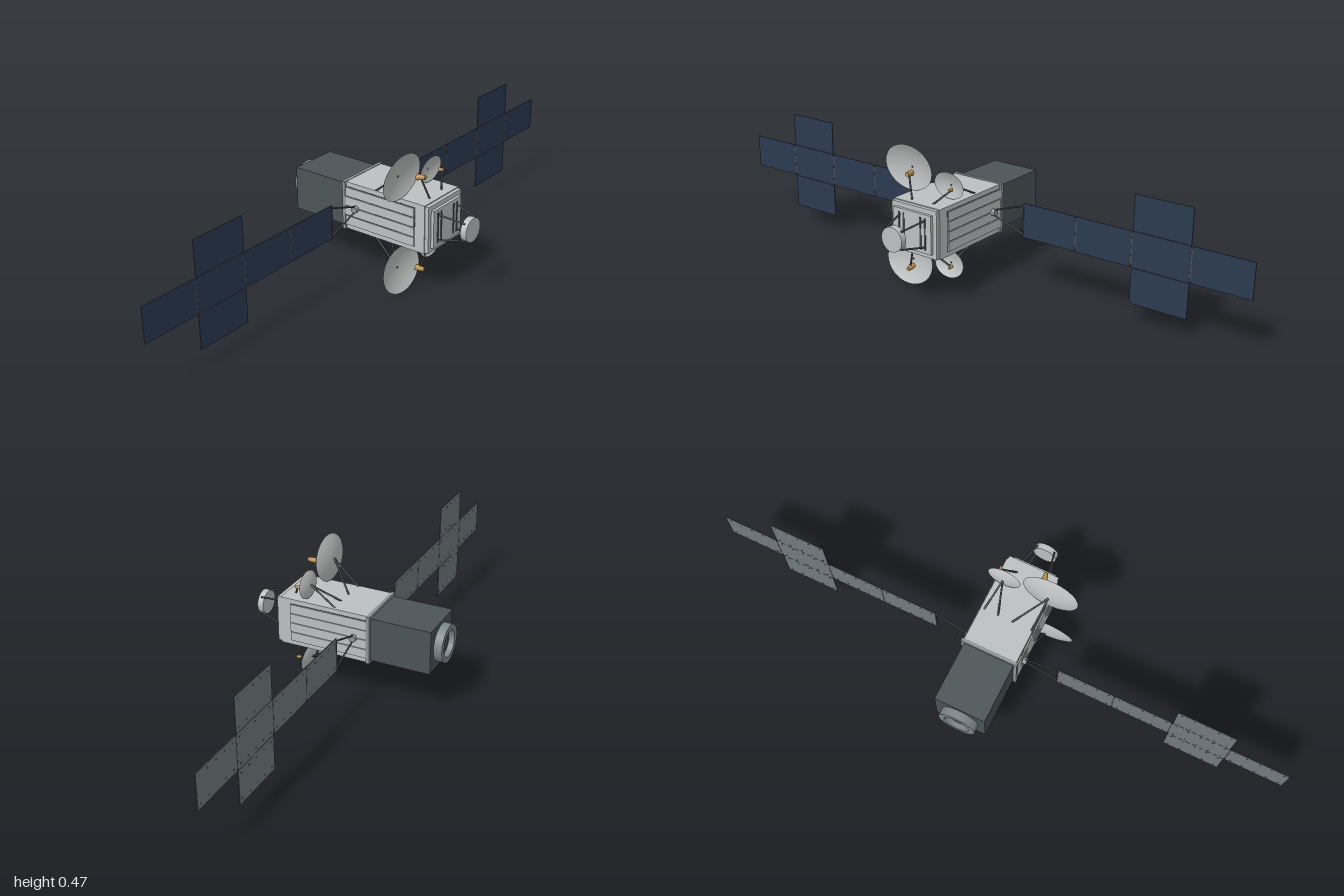
import * as THREE from 'three';

const CY = 0.2385; // height of the long axis
const mat = (name, color, double) => {
  const m = new THREE.MeshStandardMaterial({ color });
  m.name = name;
  if (double) m.side = THREE.DoubleSide;
  return m;
};

export function createModel() {
  const model = new THREE.Group();
  model.name = 'satellite';
  const grey = mat('hullGrey', 0xbcc0c0);
  const dishGrey = mat('dishGrey', 0xbfc2c2, true);
  const trim = mat('trimGrey', 0x8d9497);
  const slate = mat('slate', 0x4b5457);
  const steel = mat('engineSteel', 0x7d868e, true);
  const dark = mat('strutDark', 0x4a4d4f);
  const gold = mat('hornGold', 0xb58c48);
  const blue = mat('solarBlue', 0x2b3a50);
  const back = mat('panelBack', 0x727a7e);

  const add = (name, geo, material, x = 0, y = 0, z = 0, parent = model) => {
    const m = new THREE.Mesh(geo, material);
    m.name = name;
    m.position.set(x, y, z);
    parent.add(m);
    return m;
  };
  const box = (name, w, h, d, material, x, y, z, parent) =>
    add(name, new THREE.BoxGeometry(w, h, d), material, x, y, z, parent);
  // Cylinder or cone running between two points
  const rod = (name, a, b, r0, r1, material, parent = model, seg = 10) => {
    const p = new THREE.Vector3(...a), q = new THREE.Vector3(...b);
    const dir = q.clone().sub(p);
    const m = add(name, new THREE.CylinderGeometry(r1, r0, dir.length(), seg), material, 0, 0, 0, parent);
    m.position.copy(p).add(q).multiplyScalar(0.5);
    m.quaternion.setFromUnitVectors(new THREE.Vector3(0, 1, 0), dir.normalize());
    return m;
  };
  // Lathe whose axis points to +z
  const latheZ = (pts, seg) =>
    new THREE.LatheGeometry(pts.map(p => new THREE.Vector2(...p)), seg).rotateX(Math.PI / 2);

  // Hull
  box('hull', 0.184, 0.165, 0.314, grey, 0, CY, 0.06);
  box('frontPlate', 0.178, 0.159, 0.013, grey, 0, CY, 0.2235);
  box('frontCap', 0.15, 0.128, 0.01, grey, 0, CY, 0.235);
  box('rearCollar', 0.196, 0.168, 0.012, trim, 0, CY, -0.097);
  box('rearModule', 0.174, 0.149, 0.204, slate, 0, CY, -0.205);

  // Side radiators: four raised slats over a darker backing
  for (const s of [-1, 1]) {
    box('radiatorBacking', 0.002, 0.134, 0.275, dark, s * 0.0925, CY, 0.043);
    for (let i = 0; i < 4; i++)
      box('radiatorSlat', 0.006, 0.0305, 0.273, grey, s * 0.094, CY + (i - 1.5) * 0.0335, 0.043);
    // Vertical slots on the front
    for (const x of [0.034, 0.052])
      box('frontSlot', 0.006, 0.105, 0.003, dark, s * x, CY, 0.2405);
  }

  // Engine ring with recessed nozzle
  const engine = latheZ([[0, 0.007], [0.026, 0.007], [0.036, 0.002], [0.044, 0.002],
    [0.044, 0.028], [0.0635, 0.028], [0.0635, 0]], 40);
  engine.rotateY(Math.PI);
  const engineMesh = add('engineRing', engine.toNonIndexed(), steel, 0, CY, -0.307);
  engineMesh.geometry.computeVertexNormals();
  add('engineThroat', new THREE.RingGeometry(0.027, 0.044, 40).rotateY(Math.PI), slate, 0, CY, -0.3165);

  // Front drum on four legs
  rod('frontDrum', [0, CY, 0.315], [0, CY, 0.336], 0.0405, 0.0405, grey, model, 36);
  for (const sx of [-1, 1]) for (const sy of [-1, 1])
    rod('drumLeg', [sx * 0.05, CY + sy * 0.044, 0.238], [sx * 0.03, CY + sy * 0.029, 0.326], 0.003, 0.003, dark);

  // Dish antennas with feed horns, above and below
  const addDish = (name, s, d) => {
    const g = new THREE.Group();
    g.name = name;
    model.add(g);
    const at = (x, h, z) => [x, CY + s * h, z];
    const profile = [];
    for (let i = 0; i <= 8; i++) profile.push([i / 8, (i / 8) ** 2 - 1]);
    const geo = latheZ(profile, 40).scale(d.rx, d.ry, d.depth);
    const dish = add('reflector', geo, dishGrey, ...at(d.x, d.h, d.z), g);
    dish.rotation.x = s * 0.118;
    const hub = at(d.x, d.h, d.z - d.depth);
    for (const x of d.feet) {
      rod('dishStrut', at(x, 0.081, 0.026), hub, 0.003, 0.003, dark, g);
    }
    const [hx, hh, hz, len, r] = d.horn;
    rod('feedStrut', at(d.base[0], 0.08, d.base[1]), at(hx, hh - r * 0.5, hz), 0.003, 0.003, dark, g);
    const horn = rod('feedHorn', at(hx + len * 0.1, hh + len * 0.06, hz + len / 2),
      at(hx - len * 0.1, hh - len * 0.06, hz - len / 2), r * 0.65, r, gold, g, 16);
    return horn;
  };
  for (const s of [1, -1]) {
    addDish('largeDish', s, { x: -0.1, h: 0.1595, z: 0.136, rx: 0.095, ry: 0.0775, depth: 0.017,
      feet: [-0.088, -0.02], horn: [-0.06, 0.158, 0.18, 0.028, 0.0105], base: [-0.035, 0.196] });
    addDish('smallDish', s, { x: 0.06, h: 0.131, z: 0.132, rx: 0.057, ry: 0.045, depth: 0.011,
      feet: [0.03, 0.08], horn: [0.085, 0.128, 0.157, 0.016, 0.0065], base: [0.04, 0.188] });
  }

  // Solar wings: blue in front, grey behind, dark edges
  const ZP = -0.048, H = 0.1155;
  const faces = [dark, dark, dark, dark, blue, back];
  for (const s of [-1, 1]) {
    const wing = new THREE.Group();
    wing.name = s > 0 ? 'leftWing' : 'rightWing';
    model.add(wing);
    const panel = (x0, x1, y) => {
      const w = x1 - x0, cx = s * (x0 + x1) / 2;
      box('solarPanel', w, H, 0.003, faces, cx, y, ZP, wing);
      for (let i = 0; i < 5; i++) for (const v of [-1, 1])
        box('panelFastener', 0.005, 0.003, 0.001, dark, cx + (i - 2) * w * 0.21, y + v * 0.043, ZP - 0.0018, wing);
    };
    panel(0.217, 0.411, CY);
    panel(0.416, 0.607, CY);
    for (const k of [-1, 0, 1]) panel(0.612, 0.803, CY + k * (H + 0.0015));
    panel(0.808, 1, CY);
    // Hinges between the panels
    for (const x of [0.4135, 0.6095, 0.8055])
      box('panelHinge', 0.006, H * 0.9, 0.002, dark, s * x, CY, ZP, wing);
    // Boom joining the wing to the hull
    rod('wingHub', [s * 0.09, CY, ZP], [s * 0.11, CY, ZP], 0.0115, 0.0115, trim, wing, 20);
    for (const v of [-1, 1])
      rod('wingStrut', [s * 0.1, CY + v * 0.008, ZP], [s * 0.218, CY + v * 0.048, ZP], 0.0028, 0.0028, dark, wing);
    rod('wingRootBar', [s * 0.218, CY - 0.05, ZP], [s * 0.218, CY + 0.05, ZP], 0.0028, 0.0028, dark, wing);
  }
  return model;
}
